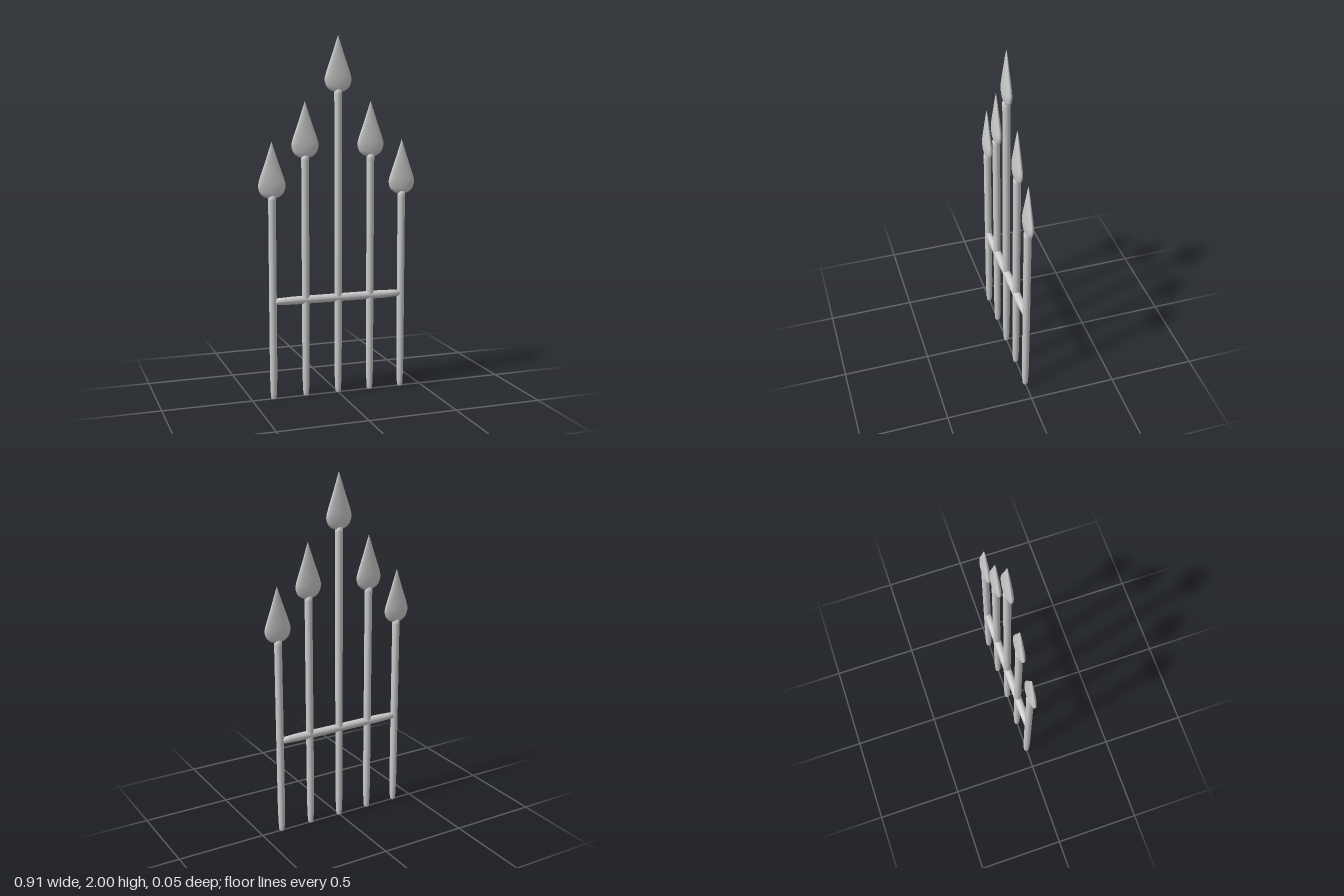
import * as THREE from 'three';

const metal = new THREE.MeshStandardMaterial({ color: 0xcccccc, side: THREE.DoubleSide });

// Lathe through a smooth curve of [radius, height] points
function turned(points, rings, sides) {
  const curve = new THREE.SplineCurve(points.map(([r, y]) => new THREE.Vector2(r, y)));
  const profile = curve.getPoints(rings).map(p => new THREE.Vector2(Math.max(p.x, 0), p.y));
  return new THREE.LatheGeometry(profile, sides);
}

// Leaf-shaped head, flattened front to back; its tip is at y = 0
function headGeometry() {
  const width = 0.077, depth = 0.021;
  const geo = turned([
    [0.018, -0.315], [0.024, -0.306], [0.045, -0.297], [0.066, -0.277], [width, -0.243],
    [0.072, -0.212], [0.058, -0.17], [0.036, -0.108], [0.016, -0.048], [0, 0],
  ], 45, 40);
  const pos = geo.attributes.position;
  for (let i = 0; i < pos.count; i++) {
    const r = Math.hypot(pos.getX(i), pos.getZ(i));
    if (r < 1e-6) continue;
    const thick = depth * Math.pow(Math.min(r / width, 1), 0.7);
    pos.setZ(i, pos.getZ(i) / r * thick);
  }
  geo.computeVertexNormals();
  return geo;
}

// Round shaft, narrowed to a blunt foot, flaring slightly into the head
function shaftGeometry(top) {
  const profile = [
    [0, 0], [0.011, 0], [0.015, 0.006], [0.017, 0.03], [0.019, 0.08], [0.0205, 0.16],
    [0.021, 0.5], [0.021, top - 0.06], [0.022, top - 0.02], [0.022, top], [0, top + 0.03],
  ].map(([r, y]) => new THREE.Vector2(r, y));
  return new THREE.LatheGeometry(profile, 24);
}

export function createModel() {
  const group = new THREE.Group();
  const add = (name, geo, x = 0, y = 0) => {
    const mesh = new THREE.Mesh(geo, metal);
    mesh.name = name;
    mesh.position.set(x, y, 0);
    group.add(mesh);
    return mesh;
  };

  // Five spears, tallest in the middle
  const head = headGeometry();
  const spears = [[-0.378, 1.43], [-0.19, 1.645], [0, 2], [0.19, 1.645], [0.378, 1.43]];
  for (const [x, tip] of spears) {
    add('spearShaft', shaftGeometry(tip - 0.3), x);
    add('spearHead', head, x, tip);
  }

  // Cross bar, thinner toward its ends
  const bar = new THREE.LatheGeometry([
    [0, -0.37], [0.018, -0.37], [0.02, -0.32], [0.0225, -0.26],
    [0.0225, 0.26], [0.02, 0.32], [0.018, 0.37], [0, 0.37],
  ].map(([r, y]) => new THREE.Vector2(r, y)), 24);
  add('crossBar', bar, 0, 0.55).rotation.z = Math.PI / 2;

  return group;
}
